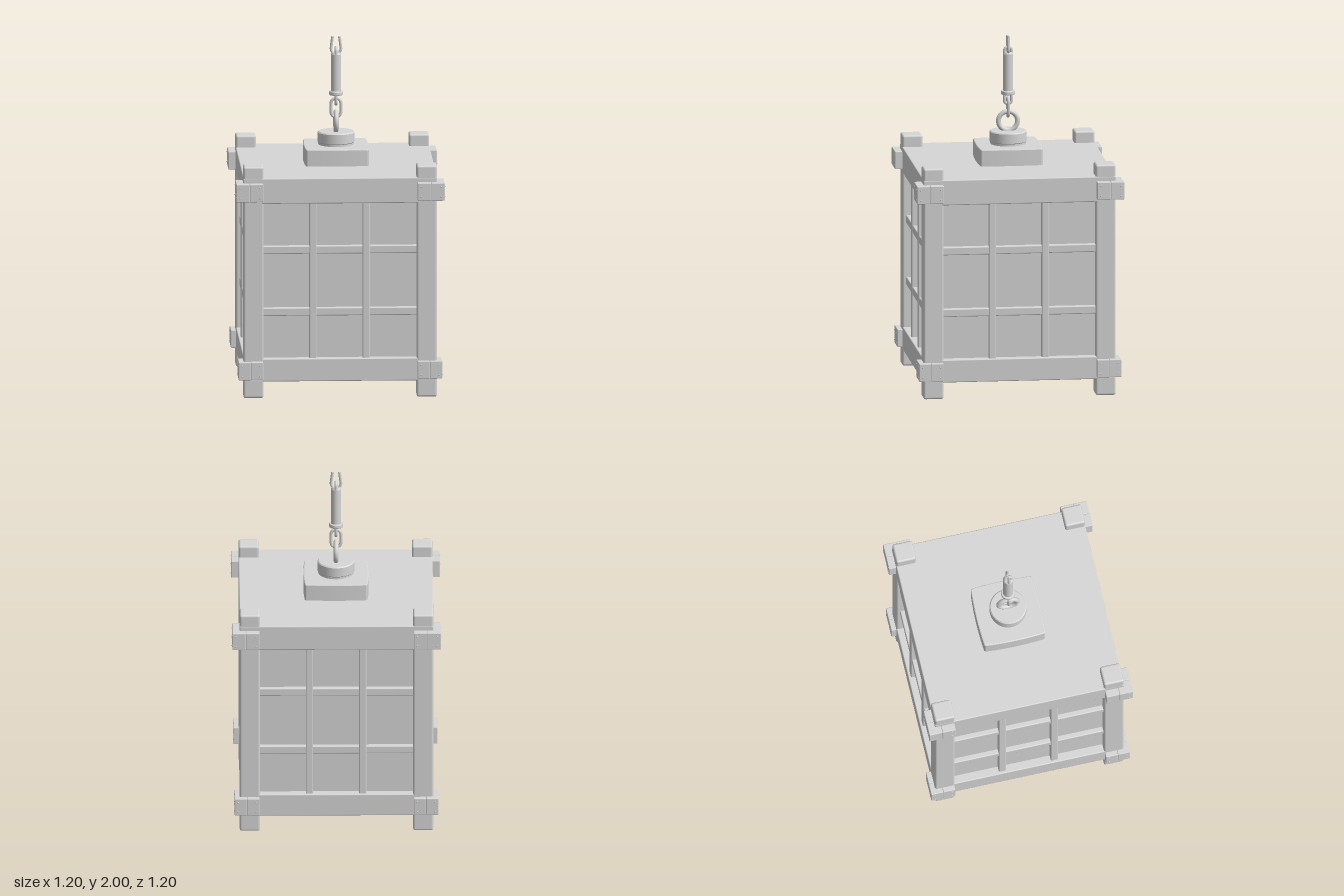
import * as THREE from 'three';
import { RoundedBoxGeometry } from 'three/addons/geometries/RoundedBoxGeometry.js';

const grey = new THREE.MeshStandardMaterial({ color: 0xd6d6d6 });
grey.name = 'plain grey';

function add(parent, name, geometry, x = 0, y = 0, z = 0) {
  const mesh = new THREE.Mesh(geometry, grey);
  mesh.name = name;
  mesh.position.set(x, y, z);
  parent.add(mesh);
  return mesh;
}

// Softened box given by its minimum and maximum corners
function block(parent, name, a, b, radius = 0.006) {
  const s = b.map((v, i) => v - a[i]);
  const c = b.map((v, i) => (v + a[i]) / 2);
  return add(parent, name, new RoundedBoxGeometry(...s, 2, radius), ...c);
}

// Stadium-shaped chain link lying in the xy plane; an open link ends at its straight sides
function linkGeometry(halfWidth, height, wire, open = false) {
  const pts = [];
  const straight = height / 2 - halfWidth;
  const arc = (from, cy) => {
    for (let i = 0; i <= 8; i++) {
      const t = from + (i / 8) * Math.PI;
      pts.push(new THREE.Vector3(Math.cos(t) * halfWidth, cy + Math.sin(t) * halfWidth, 0));
    }
  };
  if (open) pts.push(new THREE.Vector3(-halfWidth * 0.7, height / 2, 0));
  arc(Math.PI, -straight);
  if (open) pts.push(new THREE.Vector3(halfWidth * 0.7, height / 2, 0));
  else arc(0, straight);
  return new THREE.TubeGeometry(new THREE.CatmullRomCurve3(pts, !open), 40, wire, 8, !open);
}

// One wall: rails and lattice bars
function buildSide() {
  const side = new THREE.Group();
  side.name = 'latticeSide';
  block(side, 'bottomRail', [-0.55, 0.096, 0.487], [0.55, 0.228, 0.553]);
  block(side, 'topRail', [-0.45, 1.13, 0.48], [0.45, 1.275, 0.555]);
  for (const x of [-0.155, 0.15])
    block(side, 'verticalBar', [x - 0.021, 0.22, 0.495], [x + 0.021, 1.14, 0.538]);
  for (const y of [0.497, 0.857])
    block(side, 'horizontalBar', [-0.45, y - 0.023, 0.495], [0.45, y + 0.023, 0.533]);
  return side;
}

// Corner bracket made of three blocks wrapped round a post, with bolts on both outer faces
function buildBracket(y0, y1, outer) {
  const bracket = new THREE.Group();
  bracket.name = 'cornerBracket';
  const inner = 0.442, mid = (inner + outer) / 2;
  block(bracket, 'bracketCorner', [mid, y0, mid], [outer, y1, outer], 0.004);
  block(bracket, 'bracketArm', [inner, y0, mid], [mid, y1, outer], 0.004);
  block(bracket, 'bracketArm', [mid, y0, inner], [outer, y1, mid], 0.004);
  for (const u of [inner + 0.02, outer - 0.02])
    for (const y of [y0 + 0.022, y1 - 0.022]) {
      const bolt = new THREE.SphereGeometry(0.005, 8, 6);
      add(bracket, 'bolt', bolt, u, y, outer - 0.001);
      add(bracket, 'bolt', bolt, outer - 0.001, y, u);
    }
  return bracket;
}

// Square cap with slightly bulging sides
function capGeometry() {
  const c = 0.166, e = 0.188, shape = new THREE.Shape();
  shape.moveTo(-c, -c - 0.008);
  for (let i = 0; i < 4; i++) {
    const a = (i * Math.PI) / 2;
    const to = (x, y) => [x * Math.cos(a) - y * Math.sin(a), x * Math.sin(a) + y * Math.cos(a)];
    shape.quadraticCurveTo(...to(0, -e), ...to(c, -c - 0.008));
    shape.quadraticCurveTo(...to(c + 0.008, -c - 0.008), ...to(c + 0.008, -c));
  }
  const g = new THREE.ExtrudeGeometry(shape, {
    depth: 0.1, bevelThickness: 0.006, bevelSize: 0.006, bevelSegments: 2, curveSegments: 8,
  });
  return g.rotateX(-Math.PI / 2);
}

// Turned part; each straight run of the profile gets its own crisp band
function turned(parent, name, points) {
  const group = new THREE.Group();
  group.name = name;
  for (let i = 1; i < points.length; i++) {
    const run = [points[i - 1], points[i]].map(([r, y]) => new THREE.Vector2(r, y));
    add(group, name + 'Band', new THREE.LatheGeometry(run, 32));
  }
  parent.add(group);
}

export function createModel() {
  const model = new THREE.Group();
  model.name = 'hangingLantern';

  // Recessed panels, recessed floor and lid
  add(model, 'innerPanels', new THREE.BoxGeometry(1.01, 1.045, 1.01), 0, 0.6775, 0);
  block(model, 'lid', [-0.555, 1.16, -0.555], [0.555, 1.277, 0.555]);

  // Four walls, posts, feet and brackets
  for (let i = 0; i < 4; i++) {
    const quarter = new THREE.Group();
    quarter.name = 'quarter';
    quarter.rotation.y = (i * Math.PI) / 2;
    quarter.add(buildSide());
    block(quarter, 'cornerPost', [0.438, 0.16, 0.438], [0.554, 1.345, 0.554], 0.012);
    block(quarter, 'foot', [0.438, 0, 0.438], [0.554, 0.115, 0.554], 0.012);
    quarter.add(buildBracket(0.11, 0.213, 0.583));
    quarter.add(buildBracket(1.148, 1.251, 0.597));
    model.add(quarter);
  }

  // Cap and round boss
  add(model, 'squareCap', capGeometry(), 0, 1.268, 0);
  turned(model, 'roundBoss', [[0.102, 1.36], [0.102, 1.386], [0.106, 1.39], [0.106, 1.444], [0.1, 1.45], [0, 1.45]]);

  // Hanging ring and chain
  const chain = new THREE.Group();
  chain.name = 'chain';
  model.add(chain);
  add(chain, 'hangingRing', new THREE.TorusGeometry(0.055, 0.014, 12, 32), 0, 1.505, 0).rotation.y = Math.PI / 2;
  add(chain, 'chainLink', linkGeometry(0.028, 0.108, 0.009), 0, 1.586, 0);
  add(chain, 'swivelLoop', linkGeometry(0.02, 0.09, 0.009), 0, 1.65, 0).rotation.y = Math.PI / 2;
  turned(chain, 'swivelBody', [
    [0, 1.66], [0.038, 1.66], [0.04, 1.664], [0.04, 1.678], [0.038, 1.682], [0.029, 1.683],
    [0.029, 1.896], [0.024, 1.906], [0, 1.908],
  ]);
  add(chain, 'swivelLoop', linkGeometry(0.02, 0.09, 0.009), 0, 1.89, 0).rotation.y = Math.PI / 2;
  add(chain, 'openTopLink', linkGeometry(0.028, 0.1, 0.008, true), 0, 1.95, 0);

  return model;
}
